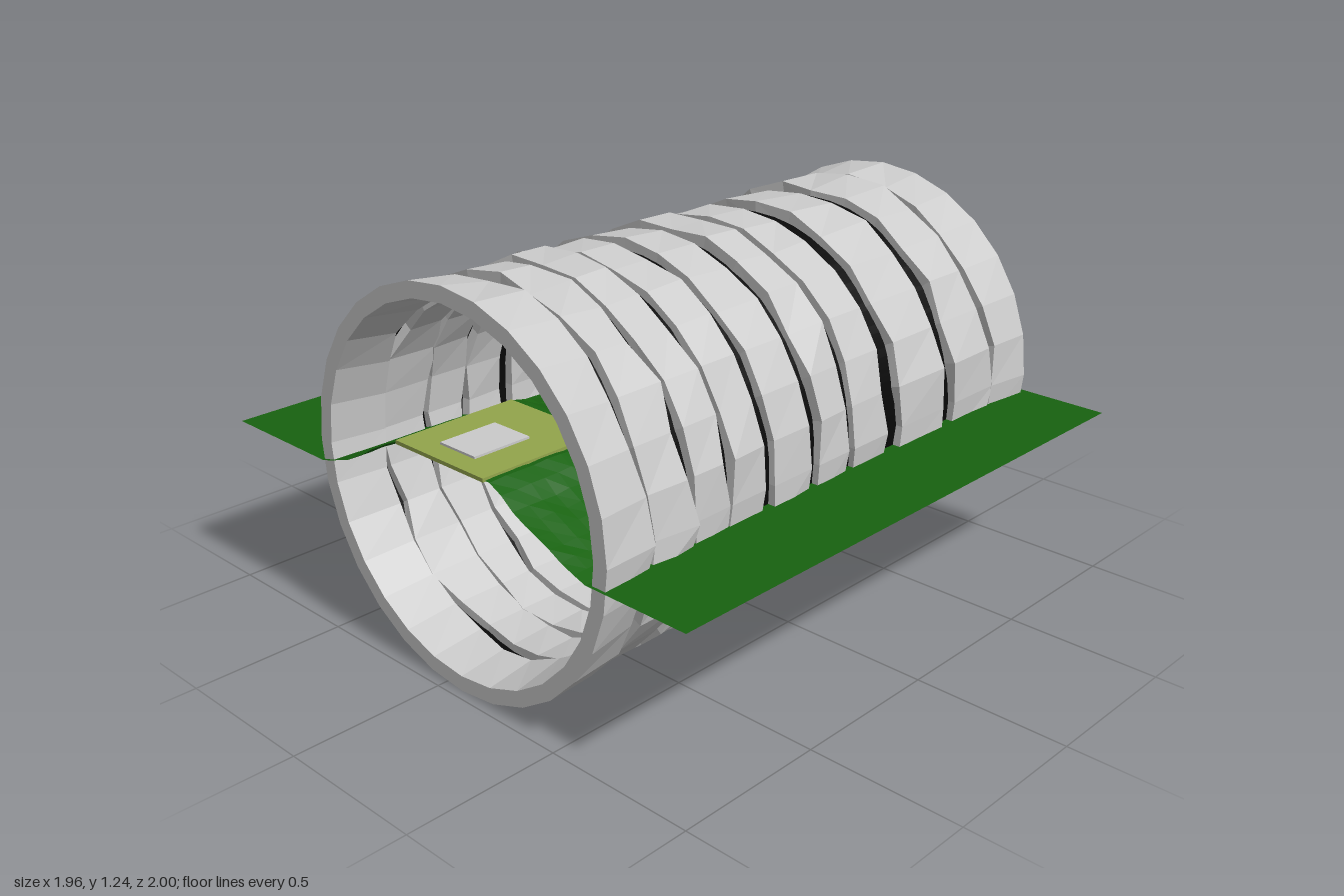
import * as THREE from 'three';

const CX = 0.075, CY = 0.625, GROUND = 0.56;

const paint = (color, flat = true) =>
  new THREE.MeshStandardMaterial({ color, flatShading: flat, side: THREE.DoubleSide });
const grey = paint(0xcccccc);
const black = paint(0x080808, false);
const grass = paint(0x186210);
const lightGrass = paint(0x93a54c);
const orange = paint(0xd4622a);

function seeded(seed) {
  let s = seed;
  return () => (s = (s * 16807) % 2147483647) / 2147483647;
}

function add(parent, name, geometry, material, x = 0, y = 0, z = 0) {
  const mesh = new THREE.Mesh(geometry, material);
  mesh.name = name;
  mesh.position.set(x, y, z);
  parent.add(mesh);
  return mesh;
}

// Rough ring around the z axis: a four-cornered section swept round, edges jittered
function roughRing(z0, z1, jag0, jag1, rand) {
  const sides = 28, pos = [], idx = [];
  for (let i = 0; i < sides; i++) {
    const a = (i / sides) * Math.PI * 2;
    const za = z0 + (rand() - 0.5) * 2 * jag0, zb = z1 + (rand() - 0.5) * 2 * jag1;
    const ra = jag0 ? 0.592 + rand() * 0.022 : 0.62;
    const rb = jag1 ? 0.592 + rand() * 0.022 : 0.62;
    const ia = jag0 ? 0.54 + rand() * 0.01 : 0.57;
    const ib = jag1 ? 0.54 + rand() * 0.01 : 0.57;
    for (const [r, z] of [[ra, za], [rb, zb], [ib, zb], [ia, za]])
      pos.push(r * Math.cos(a), r * Math.sin(a), z);
    for (let k = 0; k < 4; k++) {
      const n = ((i + 1) % sides) * 4, A = i * 4 + k, B = i * 4 + (k + 1) % 4;
      const D = n + k, C = n + (k + 1) % 4;
      idx.push(A, D, B, D, C, B);
    }
  }
  const g = new THREE.BufferGeometry();
  g.setAttribute('position', new THREE.Float32BufferAttribute(pos, 3));
  g.setIndex(idx);
  g.computeVertexNormals();
  return g;
}

// Height of the ridge that carries the front platform
const ridge = [[-0.52, 0], [-0.38, 0.05], [-0.22, 0.14], [-0.15, 0.182], [0.28, 0.182],
  [0.36, 0.12], [0.46, 0.07], [0.61, 0]];
function ridgeHeight(x) {
  for (let i = 1; i < ridge.length; i++) {
    const [xa, ya] = ridge[i - 1], [xb, yb] = ridge[i];
    if (x >= xa && x <= xb) return ya + (yb - ya) * (x - xa) / (xb - xa);
  }
  return 0;
}

function terrain() {
  const g = new THREE.PlaneGeometry(1.96, 1.97, 44, 40).rotateX(-Math.PI / 2);
  const p = g.attributes.position, rand = seeded(77);
  for (let i = 0; i < p.count; i++) {
    const x = p.getX(i), z = p.getZ(i), n = rand() - 0.5;
    const inside = Math.abs(x - CX) < 0.5 ? 1 : 0;
    const slope = THREE.MathUtils.smoothstep(z, 0.2, 0.56);
    p.setY(i, ridgeHeight(x) * slope + n * 0.02 * inside * (1 - slope * 0.7));
    if (inside && z < -0.97) p.setZ(i, z - 0.006 + n * 0.016);
    if (inside && z > 0.97) p.setZ(i, z + 0.012 * Math.cos((x - CX) * 3));
  }
  g.computeVertexNormals();
  return g;
}

// Light green mound with a stone pad, optionally topped by a waisted post
function mound(name, x, z, radius, lift, post, size = 1) {
  const g = new THREE.Group();
  g.name = name;
  g.position.set(x, GROUND, z);
  add(g, 'moundBase', new THREE.CylinderGeometry(radius, radius, 0.05, 14), lightGrass, 0, -0.005, 0);
  add(g, 'moundTop', new THREE.CylinderGeometry(radius * 0.72, radius, 0.04 + lift, 14), lightGrass,
    0, 0.04 + lift / 2, 0);
  const top = 0.06 + lift;
  add(g, 'stonePad', new THREE.BoxGeometry(0.15, 0.014, 0.15), grey, 0, top + 0.005, 0);
  if (post) {
    const p = new THREE.Group();
    p.name = 'post';
    p.position.y = top + 0.01;
    p.scale.setScalar(size);
    add(p, 'postFoot', new THREE.CylinderGeometry(0.03, 0.045, 0.05, 14), grey, 0, 0.025, 0);
    add(p, 'lowerRim', new THREE.CylinderGeometry(0.07, 0.06, 0.02, 16), orange, 0, 0.055, 0);
    add(p, 'postStem', new THREE.CylinderGeometry(0.043, 0.03, 0.09, 14), grey, 0, 0.105, 0);
    add(p, 'topRim', new THREE.CylinderGeometry(0.048, 0.046, 0.015, 16), orange, 0, 0.157, 0);
    g.add(p);
  }
  return g;
}

export function createModel() {
  const model = new THREE.Group();
  model.name = 'tunnelCourse';

  // Tunnel: dark liner with ten rough rings; only the two end rims are clean
  const tunnel = new THREE.Group();
  tunnel.name = 'tunnel';
  tunnel.position.set(CX, CY, 0);
  model.add(tunnel);
  add(tunnel, 'liner', new THREE.CylinderGeometry(0.574, 0.574, 1.86, 48, 1, true).rotateX(Math.PI / 2), black);
  const rings = [
    [-0.965, -0.79, 0, 0.028], [-0.78, -0.585, 0.028, 0.012], [-0.52, -0.305, 0.014, 0.01],
    [-0.235, -0.085, 0.01, 0.008], [-0.05, 0.085, 0.005, 0.006], [0.125, 0.285, 0.006, 0.006],
    [0.33, 0.465, 0.008, 0.015], [0.485, 0.615, 0.015, 0.015], [0.635, 0.78, 0.02, 0.022],
    [0.80, 0.97, 0.015, 0],
  ];
  rings.forEach(([a, b, ja, jb], i) =>
    add(tunnel, 'ring' + (i + 1), roughRing(a, b, ja, jb, seeded(101 + i * 37)), grey));

  // Ground sheet running through the tunnel
  add(model, 'ground', terrain(), grass, 0, GROUND, -0.005);

  // Raised starting platform at the front
  add(model, 'platform', new THREE.BoxGeometry(0.38, 0.012, 0.43), lightGrass, 0.06, 0.744, 0.783);
  add(model, 'platformPad', new THREE.BoxGeometry(0.15, 0.014, 0.2), grey, 0.06, 0.75, 0.83);

  // Mounds along the course
  model.add(mound('backMound', 0.12, -0.67, 0.165, 0.012, true));
  model.add(mound('rightMound', -0.165, -0.36, 0.14, 0, true, 0.83));
  model.add(mound('leftMound', 0.33, 0, 0.14, 0, false));

  return model;
}
